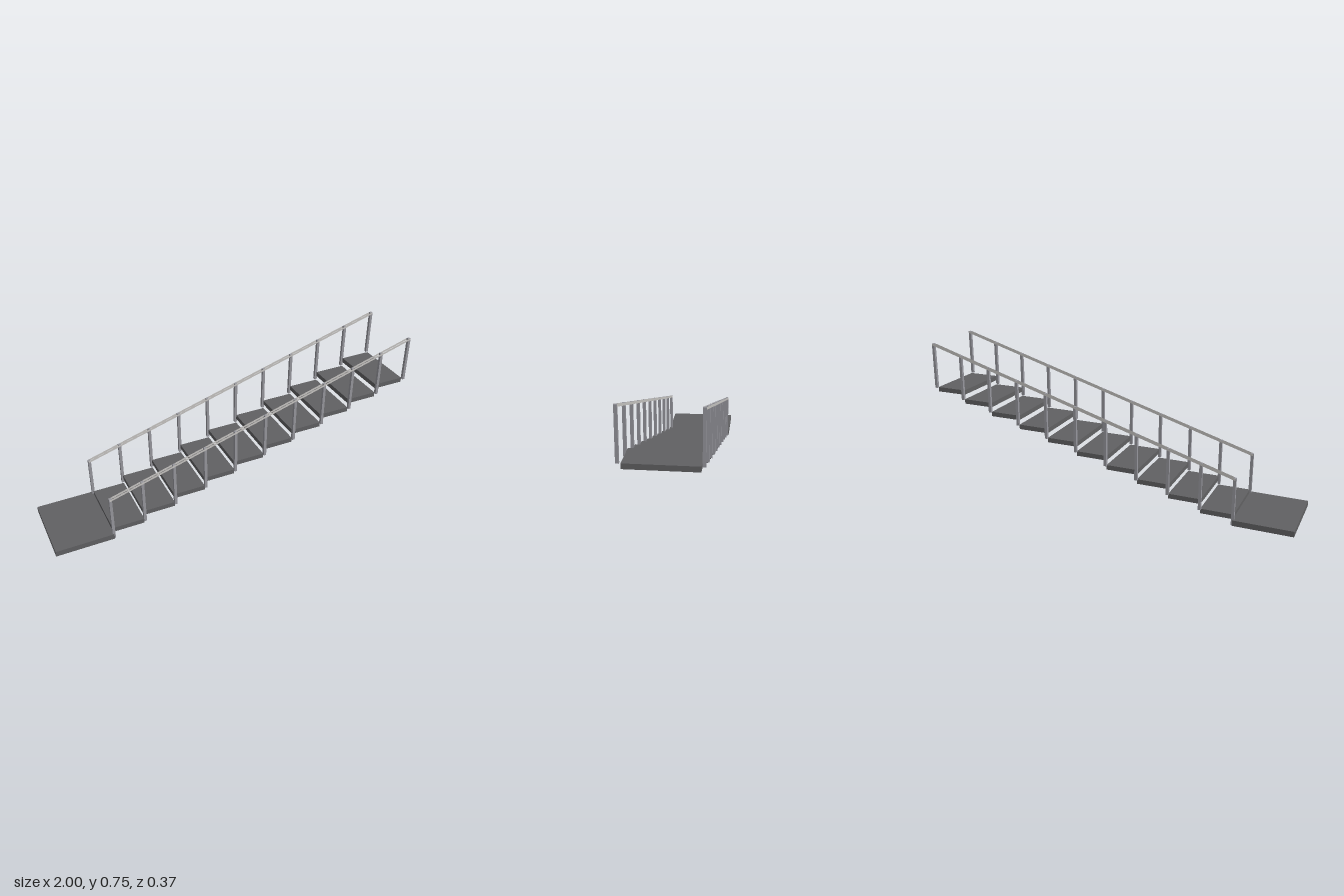
import * as THREE from 'three';

const STEPS = 10;
const RUN = 0.1692, RISE = 0.05, START_X = -0.7;
const POST = 0.0145, POST_HEIGHT = 0.247, POST_Z = 0.1745;

export function createModel() {
  const stairs = new THREE.Group();
  stairs.name = 'stairs';
  const treadGrey = new THREE.MeshStandardMaterial({ name: 'dark grey', color: 0x616163 });
  const metal = new THREE.MeshStandardMaterial({ name: 'metal grey', color: 0x97979e });
  const railGrey = new THREE.MeshStandardMaterial({
    name: 'light rail grey', color: 0xc8c6c3, side: THREE.DoubleSide,
  });

  function add(name, geometry, material, position) {
    const mesh = new THREE.Mesh(geometry, material);
    mesh.name = name;
    mesh.position.set(...position);
    stairs.add(mesh);
    return mesh;
  }

  // Bottom landing
  add('landing', new THREE.BoxGeometry(0.3, 0.029, 0.373), treadGrey, [-0.85, 0.0145, 0]);

  // Floating treads
  const tread = new THREE.BoxGeometry(RUN, 0.025, 0.324);
  for (let i = 0; i < STEPS; i++) {
    add('tread', tread, treadGrey,
      [START_X + (i + 0.5) * RUN, (i + 1) * RISE - 0.0135, 0]);
  }

  // Posts on both sides, each row carrying a pair of sloping handrail strips
  const length = STEPS * RUN, height = STEPS * RISE;
  const post = new THREE.BoxGeometry(POST, POST_HEIGHT, POST);
  const strip = new THREE.PlaneGeometry(Math.hypot(length, height) + 0.01, 0.011);
  for (const side of [-1, 1]) {
    for (let i = 0; i <= STEPS; i++) {
      add('post', post, metal,
        [START_X + i * RUN, i * RISE + POST_HEIGHT / 2, side * POST_Z]);
    }
    for (const face of [-1, 1]) {
      const rail = add('handrail', strip, railGrey,
        [START_X + length / 2, height / 2 + POST_HEIGHT - 0.005,
          side * POST_Z + face * (POST / 2 + 0.0004)]);
      rail.rotation.z = Math.atan2(height, length);
    }
  }
  return stairs;
}
